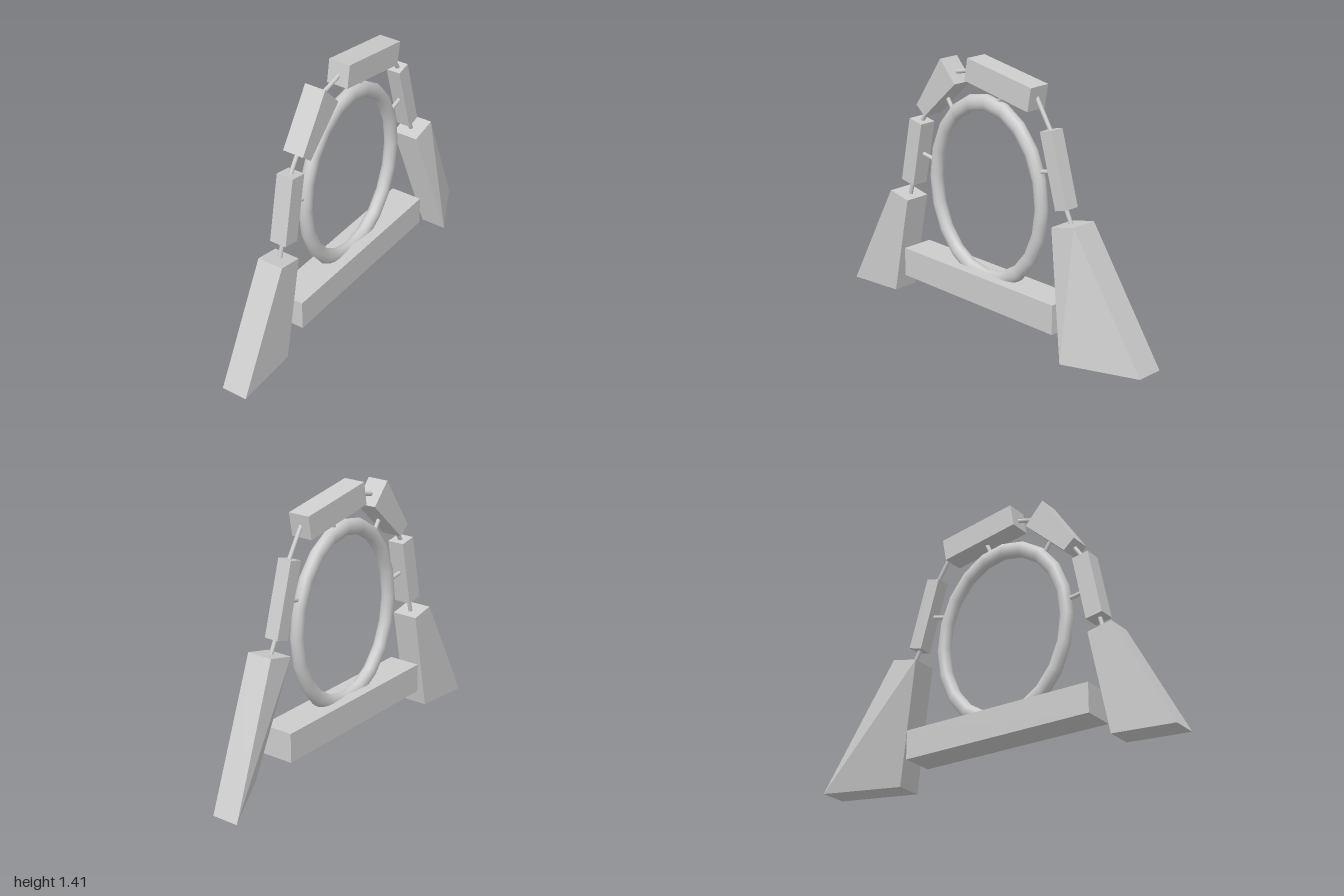
import * as THREE from 'three';
import { ConvexGeometry } from 'three/addons/geometries/ConvexGeometry.js';

export function createModel() {
  const model = new THREE.Group();
  model.name = 'ringArch';
  const stone = new THREE.MeshStandardMaterial({ color: 0xcccccc });
  stone.name = 'light grey';

  const add = (name, geometry) => {
    const mesh = new THREE.Mesh(geometry, stone);
    mesh.name = name;
    model.add(mesh);
    return mesh;
  };

  // Block with four [z, y] side corners; each corner may override its x span
  const block = (name, x0, x1, corners) => {
    const points = [];
    for (const [z, y, a = x0, b = x1] of corners) {
      points.push(new THREE.Vector3(a, y, z), new THREE.Vector3(b, y, z));
    }
    add(name, new ConvexGeometry(points));
  };

  // Thin rod between two [z, y] points on the centre plane
  const rod = (name, [z0, y0], [z1, y1]) => {
    const a = new THREE.Vector3(-0.011, y0, z0);
    const b = new THREE.Vector3(-0.011, y1, z1);
    const dir = b.clone().sub(a);
    const mesh = add(name, new THREE.CylinderGeometry(0.011, 0.011, dir.length(), 10));
    mesh.position.copy(a).add(b).multiplyScalar(0.5);
    mesh.quaternion.setFromUnitVectors(new THREE.Vector3(0, 1, 0), dir.normalize());
  };

  // Base slab and the two legs (the rear one is flared and twisted at its foot)
  block('base', -0.097, 0.078, [[0.557, 0.145], [0.557, 0.3], [-0.52, 0.3], [-0.52, 0.145]]);
  block('frontLeg', -0.08, 0.06, [[1, 0], [0.66, 0.024], [0.55, 0.565], [0.683, 0.59]]);
  block('rearLeg', -0.08, 0.06, [
    [-0.49, 0.69], [-0.635, 0.725], [-0.65, 0.06, 0.02, 0.16], [-1, 0.04, -0.165, -0.02],
  ]);

  // Arch segments from front to rear
  block('lowerFrontSegment', -0.056, 0.036, [[0.549, 1.012], [0.458, 0.996], [0.528, 0.648], [0.619, 0.664]]);
  block('upperFrontSegment', -0.068, 0.047, [[0.297, 1.373], [0.193, 1.26], [0.42, 1.05], [0.48, 1.1]]);
  block('topSegment', -0.07, 0.048, [[0.1, 1.411], [-0.335, 1.341], [-0.313, 1.22], [0.12, 1.293]]);
  block('rearSegment', -0.053, 0.024, [[-0.372, 1.132], [-0.447, 1.151], [-0.555, 0.782], [-0.48, 0.76]]);

  // Oval ring standing on the base
  const ring = new THREE.TorusGeometry(0.376, 0.035, 12, 20);
  ring.scale(1, 1.23, 1);
  ring.rotateY(Math.PI / 2);
  add('ring', ring).position.set(-0.011, 0.728, 0.018);

  // Rods linking neighbouring arch parts
  [
    [[0.61, 0.55], [0.575, 0.68]],
    [[0.515, 0.98], [0.44, 1.09]],
    [[0.25, 1.305], [0.08, 1.348]],
    [[-0.31, 1.295], [-0.415, 1.13]],
    [[-0.51, 0.79], [-0.56, 0.69]],
  ].forEach(([a, b]) => rod('archRod', a, b));

  // Short rods holding the ring
  [
    [[0.51, 0.823], [0.395, 0.806]],
    [[0.32, 1.18], [0.265, 1.1]],
    [[-0.095, 1.275], [-0.06, 1.2]],
    [[-0.34, 0.916], [-0.45, 0.945]],
  ].forEach(([a, b]) => rod('ringRod', a, b));

  return model;
}
